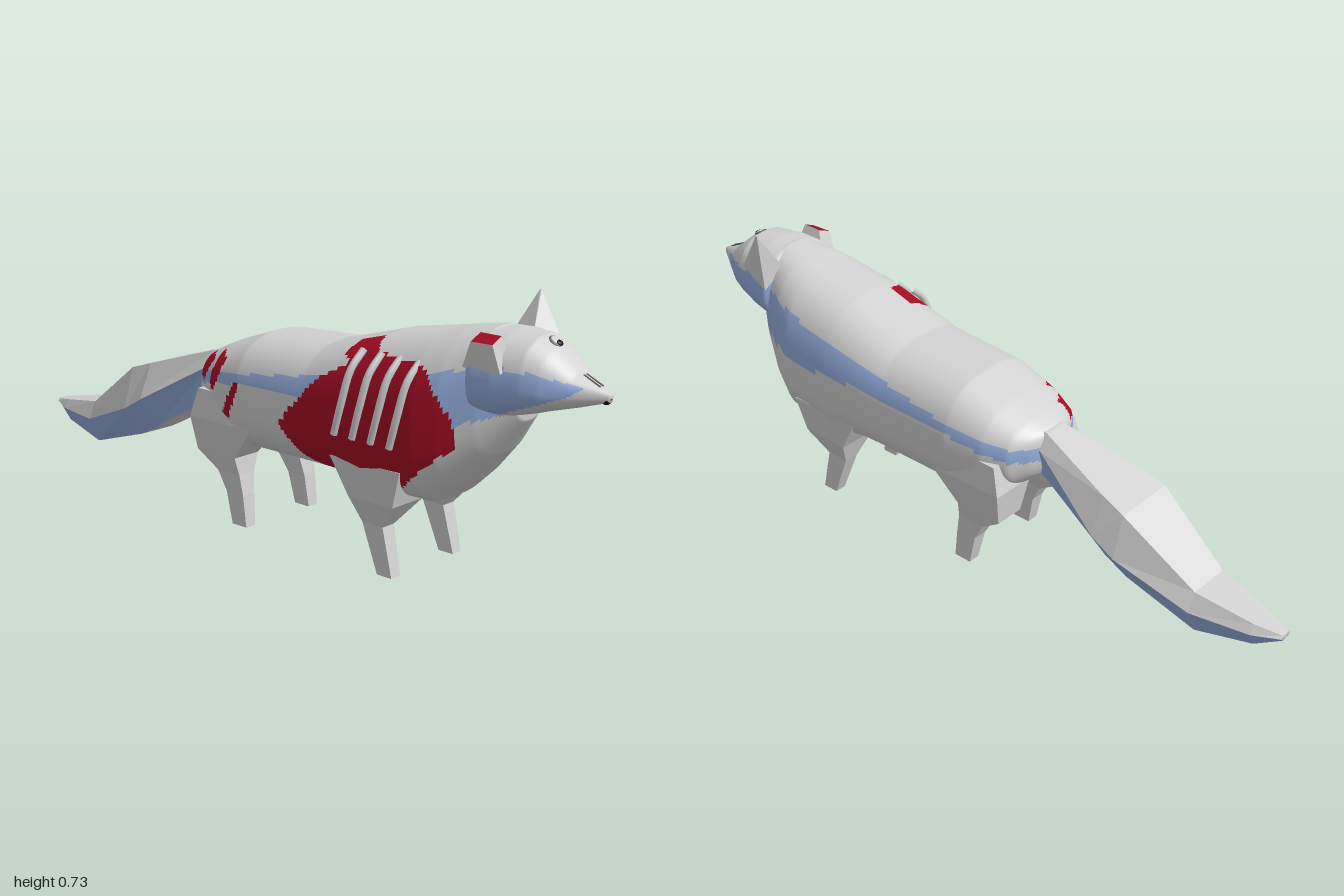
import * as THREE from 'three';

const mat = (name, color) => Object.assign(new THREE.MeshStandardMaterial({ color }), { name });
const V = (x, y, z) => new THREE.Vector3(x, y, z);

// Closed skin over rings of points, capped at both ends; paint(point, i, j) picks the material index
function skin(name, rings, materials, paint = () => 0, flat = false) {
  const n = rings[0].length;
  const middle = (ring) => ring.reduce((s, p) => s.add(p), V(0, 0, 0)).divideScalar(n);
  const rows = [rings[0].map(() => middle(rings[0])), ...rings, rings[0].map(() => middle(rings.at(-1)))];
  const index = materials.map(() => []);
  for (let i = 0; i < rows.length - 1; i++) {
    for (let j = 0; j < n; j++) {
      const k = (j + 1) % n;
      const a = i * n + j, b = i * n + k, c = a + n, d = b + n;
      const mid = middle.call(null, rows[i]).set(0, 0, 0);
      [rows[i][j], rows[i][k], rows[i + 1][j], rows[i + 1][k]].forEach((p) => mid.addScaledVector(p, 0.25));
      const list = index[paint(mid, i, j)];
      if (i > 0) list.push(a, b, c);
      if (i < rows.length - 2) list.push(b, d, c);
      else if (i === 0) list.push(b, d, c);
    }
  }
  let geo = new THREE.BufferGeometry().setFromPoints(rows.flat());
  geo.setIndex(index.flat());
  let start = 0;
  index.forEach((list, m) => {
    if (list.length) geo.addGroup(start, list.length, m);
    start += list.length;
  });
  if (flat) geo = geo.toNonIndexed();
  geo.computeVertexNormals();
  const mesh = new THREE.Mesh(geo, materials);
  mesh.name = name;
  return mesh;
}

// Rounded-box rings blended between key sections [z, top, bottom, widest height, half width]
function rounded(keys, steps, around, n) {
  const rings = [];
  const z0 = keys[0][0], z1 = keys.at(-1)[0];
  for (let i = 0; i <= steps; i++) {
    const z = z0 + (z1 - z0) * i / steps;
    let k = 0;
    while (k < keys.length - 2 && z > keys[k + 1][0]) k++;
    const t = (z - keys[k][0]) / (keys[k + 1][0] - keys[k][0]);
    const [, top, bottom, wide, w] = keys[k].map((v, q) => v + (keys[k + 1][q] - v) * t);
    rings.push(Array.from({ length: around }, (_, j) => {
      const a = j / around * Math.PI * 2, c = Math.cos(a), s = Math.sin(a);
      const pow = (v) => Math.sign(v) * Math.abs(v) ** (2 / n);
      return V(w * pow(c), wide + pow(s) * (s > 0 ? top - wide : wide - bottom), z);
    }));
  }
  return rings;
}

// Is (z, y) inside a side-on outline?
function inside(poly, z, y) {
  let hit = false;
  poly.forEach(([az, ay], i) => {
    const [bz, by] = poly[(i + 1) % poly.length];
    if ((ay > y) !== (by > y) && z < az + (bz - az) * (y - ay) / (by - ay)) hit = !hit;
  });
  return hit;
}

// Side-on paint outlines as [z, y]
const stripe = [[0.8, 0.59], [0.6, 0.56], [0.25, 0.49], [-0.07, 0.442], [-0.28, 0.415], [-0.28, 0.375],
  [-0.15, 0.4], [-0.02, 0.425], [0.25, 0.437], [0.52, 0.42], [0.7, 0.45], [0.8, 0.48]];
const cheek = [[0.95, 0.56], [0.85, 0.585], [0.72, 0.597], [0.65, 0.58], [0.65, 0.44], [0.7, 0.45], [0.785, 0.485], [0.92, 0.538]];
const wounds = [
  [[0.62, 0.5], [0.57, 0.57], [0.42, 0.575], [0.38, 0.605], [0.31, 0.59], [0.3, 0.55], [0.34, 0.54], [0.25, 0.49],
    [0.12, 0.35], [0.2, 0.27], [0.3, 0.21], [0.45, 0.22], [0.54, 0.27], [0.6, 0.33], [0.66, 0.38], [0.66, 0.44]],
  [[-0.25, 0.43], [-0.21, 0.47], [-0.17, 0.46], [-0.2, 0.4]],
  [[-0.15, 0.49], [-0.11, 0.47], [-0.14, 0.38], [-0.16, 0.4]],
  [[-0.05, 0.43], [-0.03, 0.42], [-0.08, 0.3], [-0.1, 0.33]],
];

export function createModel() {
  const fur = mat('grey fur', 0xd2d2d2), blue = mat('blue marking', 0x96b0e0);
  const red = mat('red wound', 0xa50d23), black = mat('black', 0x0a0a0a), dark = mat('dark grey', 0x6a6a6a);
  const model = new THREE.Group();
  model.name = 'fox';
  const animal = new THREE.Group();
  animal.name = 'animal';
  animal.position.x = 0.008;
  model.add(animal);

  // Body with side stripes and torn patches on the right flank
  const bodyKeys = [
    [-0.27, 0.445, 0.35, 0.4, 0.045], [-0.255, 0.457, 0.32, 0.4, 0.085], [-0.22, 0.475, 0.29, 0.38, 0.135],
    [-0.15, 0.505, 0.25, 0.37, 0.165], [-0.04, 0.543, 0.222, 0.36, 0.183], [0.195, 0.555, 0.225, 0.36, 0.187],
    [0.275, 0.577, 0.225, 0.36, 0.19], [0.4, 0.613, 0.2, 0.36, 0.192], [0.56, 0.642, 0.205, 0.37, 0.187],
    [0.62, 0.655, 0.26, 0.4, 0.165], [0.7, 0.668, 0.345, 0.46, 0.12], [0.78, 0.64, 0.45, 0.53, 0.06]];
  animal.add(skin('body', rounded(bodyKeys, 160, 96, 2.6), [fur, blue, red], (p) => {
    if (p.x < -0.07 && wounds.some((w) => inside(w, p.z, p.y))) return 2;
    return Math.abs(p.x) > 0.03 && inside(stripe, p.z, p.y) ? 1 : 0;
  }));

  // Head with blue cheeks
  const headKeys = [
    [0.66, 0.65, 0.455, 0.54, 0.11], [0.69, 0.665, 0.442, 0.54, 0.136], [0.75, 0.667, 0.455, 0.545, 0.13],
    [0.82, 0.662, 0.475, 0.545, 0.112], [0.86, 0.638, 0.488, 0.54, 0.095], [0.92, 0.587, 0.505, 0.54, 0.058],
    [1, 0.55, 0.53, 0.54, 0.008]];
  animal.add(skin('head', rounded(headKeys, 70, 64, 2.3), [fur, blue],
    (p) => (Math.abs(p.x) > 0.03 && inside(cheek, p.z, p.y) ? 1 : 0)));

  // Whole left ear, torn right ear
  const ear = [
    [V(0.125, 0.61, 0.78), V(0.137, 0.57, 0.68), V(0.08, 0.63, 0.66), V(0.055, 0.64, 0.74)],
    [V(0.136, 0.733, 0.703), V(0.136, 0.733, 0.699), V(0.134, 0.733, 0.699), V(0.134, 0.733, 0.703)]];
  animal.add(skin('leftEar', ear, [fur], undefined, true));
  const stump = [
    [V(-0.07, 0.59, 0.78), V(-0.07, 0.59, 0.67), V(-0.128, 0.58, 0.67), V(-0.128, 0.58, 0.78)],
    [V(-0.1, 0.664, 0.76), V(-0.1, 0.664, 0.7), V(-0.138, 0.648, 0.7), V(-0.134, 0.648, 0.76)]];
  animal.add(skin('tornEar', stump, [fur, red], (p, i) => (i === 2 ? 1 : 0), true));

  // Nose, brow eye and muzzle creases
  const ball = (name, material, r, pos, scale, tilt = 0) => {
    const m = new THREE.Mesh(new THREE.SphereGeometry(r, 14, 10), material);
    m.name = name;
    m.position.set(...pos);
    m.scale.set(...scale);
    m.rotation.x = tilt;
    animal.add(m);
  };
  ball('nose', black, 0.015, [0, 0.537, 0.987], [0.9, 1, 0.9]);
  ball('browEyeRim', dark, 0.019, [0, 0.649, 0.843], [1, 0.25, 1], 0.55);
  ball('browEyeWhite', fur, 0.015, [0, 0.651, 0.844], [1, 0.3, 1], 0.55);
  ball('browEyePupil', black, 0.01, [0, 0.647, 0.853], [1, 0.4, 0.9], 0.6);
  for (const x of [-0.006, 0.006]) {
    const crease = new THREE.Mesh(new THREE.BoxGeometry(0.004, 0.004, 0.05), dark);
    crease.name = 'muzzleCrease';
    crease.position.set(x, 0.573, 0.95);
    crease.rotation.x = 0.43;
    animal.add(crease);
  }

  // Exposed ribs
  for (const z of [0.37, 0.43, 0.49, 0.55]) {
    const path = new THREE.CatmullRomCurve3([
      V(-0.135, 0.575, z), V(-0.178, 0.53, z - 0.005), V(-0.194, 0.45, z - 0.02), V(-0.194, 0.36, z - 0.045)]);
    const rib = new THREE.Mesh(new THREE.TubeGeometry(path, 12, 0.01, 6), fur);
    rib.name = 'rib';
    animal.add(rib);
  }

  // Legs from sections [y, inner x, outer x, front z, back z]
  const front = [[0, 0.107, 0.141, 0.475, 0.427], [0.13, 0.099, 0.143, 0.445, 0.378],
    [0.2, 0.055, 0.172, 0.5, 0.355], [0.3, 0.04, 0.183, 0.53, 0.3]];
  const rear = [[0.01, 0.107, 0.141, -0.042, -0.095], [0.1, 0.1, 0.143, -0.052, -0.115],
    [0.155, 0.09, 0.146, -0.062, -0.145], [0.205, 0.07, 0.158, -0.068, -0.212],
    [0.3, 0.045, 0.176, 0.01, -0.222], [0.38, 0.05, 0.165, 0.03, -0.2]];
  for (const [name, keys] of [['FrontLeg', front], ['RearLeg', rear]]) {
    for (const s of [-1, 1]) {
      const rings = keys.map(([y, xi, xo, zf, zb]) => {
        const c = s * (xi + xo) / 2, h = (xo - xi) / 2;
        return [V(c + h, y, zf), V(c + h, y, zb), V(c - h, y, zb), V(c - h, y, zf)];
      });
      animal.add(skin((s > 0 ? 'left' : 'right') + name, rings, [fur], undefined, true));
    }
  }

  // Tail from six-sided sections [z, top, side, bottom heights, top, side, bottom half widths]
  const tail = [
    [-1, 0.175, 0.168, 0.16, 0.012, 0.02, 0.012], [-0.93, 0.187, 0.162, 0.122, 0.035, 0.05, 0.03],
    [-0.77, 0.215, 0.165, 0.09, 0.06, 0.085, 0.05], [-0.56, 0.362, 0.245, 0.155, 0.088, 0.122, 0.06],
    [-0.49, 0.385, 0.285, 0.19, 0.08, 0.123, 0.06], [-0.27, 0.452, 0.41, 0.32, 0.035, 0.062, 0.04],
    [-0.2, 0.46, 0.42, 0.34, 0.03, 0.05, 0.035]];
  animal.add(skin('tail', tail.map(([z, yt, ym, yb, wt, wm, wb]) => [
    V(wm, ym, z), V(wt, yt, z), V(-wt, yt, z), V(-wm, ym, z), V(-wb, yb, z), V(wb, yb, z)]),
  [fur, blue], (p, i, j) => (j === 3 || j === 5 ? 1 : 0), true));

  return model;
}
